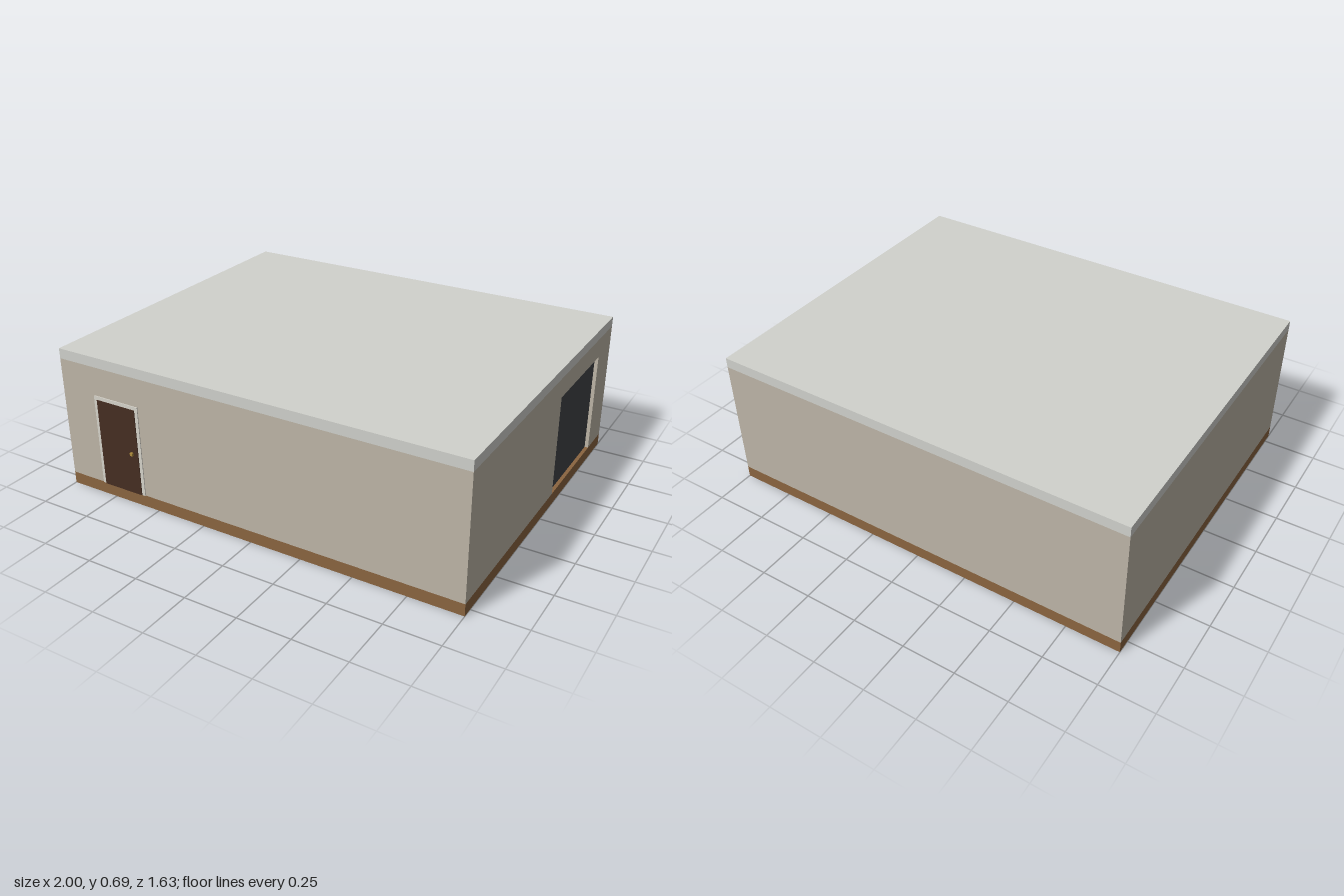
import * as THREE from 'three';

const mat = (color) => new THREE.MeshStandardMaterial({ color });
const WALL = mat(0xbeb6a8), ROOF = mat(0xd1d2cd), FLOOR = mat(0x8b6540);
const WOOD = mat(0x462e22), TRIM = mat(0xd8d5cc), DARK = mat(0x424347), BRASS = mat(0xb08d3c);

// Box given by its minimum and maximum corners
function box(name, material, [x0, y0, z0], [x1, y1, z1]) {
  const mesh = new THREE.Mesh(new THREE.BoxGeometry(x1 - x0, y1 - y0, z1 - z0), material);
  mesh.position.set((x0 + x1) / 2, (y0 + y1) / 2, (z0 + z1) / 2);
  mesh.name = name;
  return mesh;
}

export function createModel() {
  const model = new THREE.Group();
  model.name = 'building';
  const back = -0.815, front = 0.8, floorTop = 0.057, wallTop = 0.637, top = 0.685, t = 0.03;

  // Floor slab and flat roof
  model.add(box('floorSlab', FLOOR, [-1, 0, back], [1, floorTop, front]));
  model.add(box('roofSlab', ROOF, [-1, wallTop, back], [1, top, front]));

  // Plain walls
  model.add(box('frontWall', WALL, [-1, floorTop, front - t], [1, wallTop, front]));
  model.add(box('backWall', WALL, [-1, floorTop, back], [1, wallTop, back + t]));
  model.add(box('rightWall', WALL, [-1, floorTop, back + t], [-1 + t, wallTop, front - t]));

  // Side wall with a wide opening down to the floor (shape x runs along -z)
  const gapStart = 0.14, gapEnd = 0.645, gapTop = 0.54;
  const outline = new THREE.Shape([
    [-front, floorTop], [gapStart, floorTop], [gapStart, gapTop], [gapEnd, gapTop],
    [gapEnd, floorTop], [-back, floorTop], [-back, wallTop], [-front, wallTop],
  ].map(([x, y]) => new THREE.Vector2(x, y)));
  const leftWall = new THREE.Mesh(new THREE.ExtrudeGeometry(outline, { depth: t, bevelEnabled: false }), WALL);
  leftWall.name = 'leftWall';
  leftWall.rotation.y = Math.PI / 2;
  leftWall.position.x = 1 - t;
  model.add(leftWall);

  // Recessed panel closing the opening
  model.add(box('largeDoorPanel', DARK, [0.965, floorTop, -gapEnd], [0.983, gapTop, -gapStart]));

  // Front door with trim and knob
  const door = new THREE.Group();
  door.name = 'frontDoor';
  const x0 = -0.8, x1 = -0.588, doorTop = 0.482, w = 0.017;
  door.add(box('doorLeaf', WOOD, [x0, floorTop, front - 0.01], [x1, doorTop, front + 0.007]));
  for (const x of [x0 - w, x1]) {
    door.add(box('doorJamb', TRIM, [x, floorTop, front - 0.01], [x + w, doorTop, front + 0.004]));
  }
  door.add(box('doorHead', TRIM, [x0 - w, doorTop, front - 0.01], [x1 + w, doorTop + w, front + 0.004]));
  door.add(box('doorKnob', BRASS, [-0.627, 0.254, front + 0.006], [-0.613, 0.268, front + 0.017]));
  model.add(door);

  return model;
}
